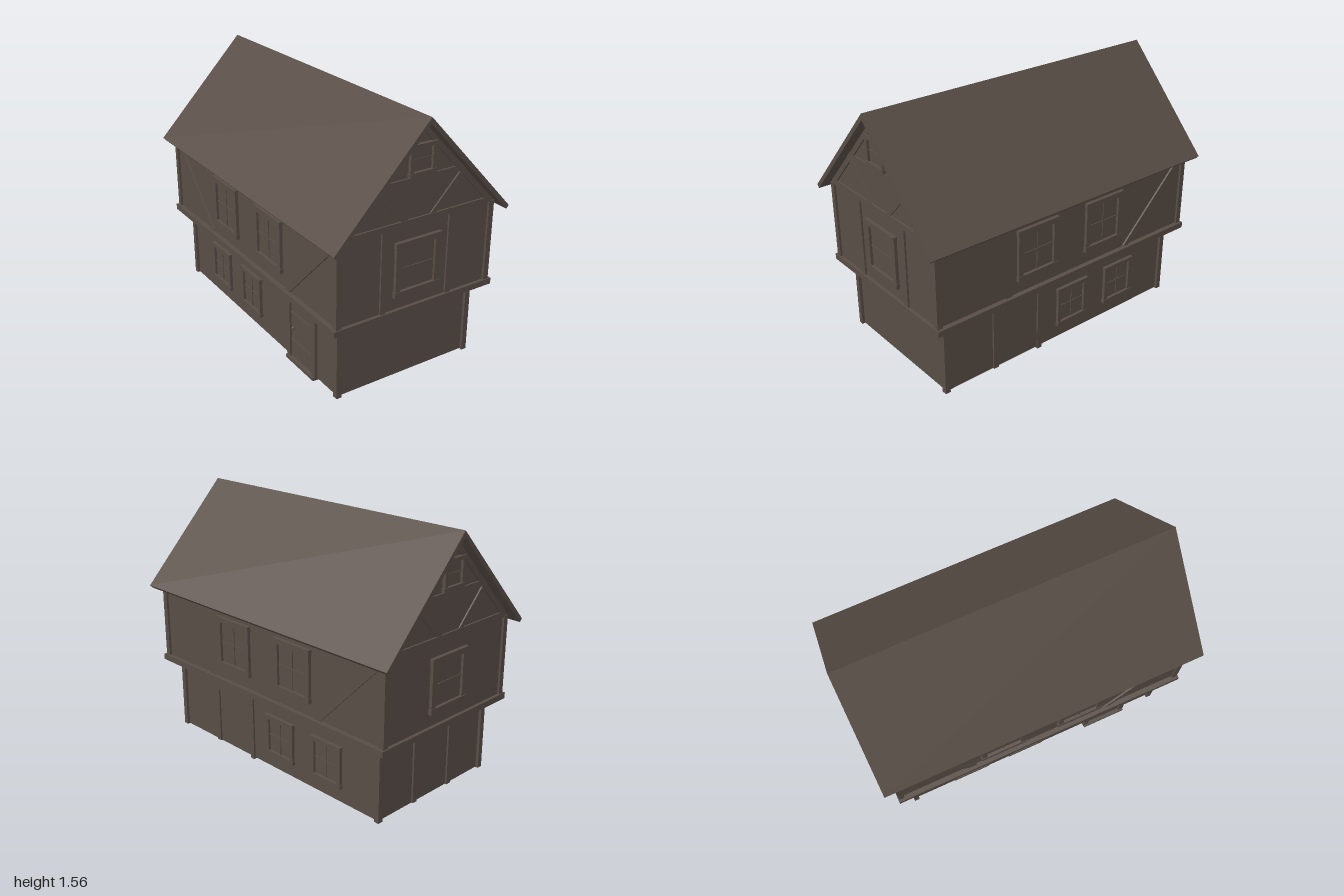
import * as THREE from 'three';

const timber = new THREE.MeshStandardMaterial({ color: 0x584d46 });
timber.name = 'dark brown';

function box(parent, name, w, h, d, x, y, z) {
  const m = new THREE.Mesh(new THREE.BoxGeometry(w, h, d), timber);
  m.name = name;
  m.position.set(x, y, z);
  parent.add(m);
  return m;
}

function prism(parent, name, pts, depth) {
  const g = new THREE.ExtrudeGeometry(new THREE.Shape(pts.map(p => new THREE.Vector2(...p))),
    { depth, bevelEnabled: false });
  g.translate(0, 0, -depth / 2);
  const m = new THREE.Mesh(g, timber);
  m.name = name;
  parent.add(m);
}

// A wall side: local x runs right, y up, z out of the wall surface
function side(parent, name, angle, dist) {
  const g = new THREE.Group();
  g.name = name;
  g.rotation.y = angle;
  g.position.set(Math.sin(angle) * dist, 0, Math.cos(angle) * dist);
  parent.add(g);
  return g;
}

// Beam on a wall from (x0,y0) to (x1,y1)
function beam(s, name, x0, y0, x1, y1, w = 0.034, out = 0.011) {
  const m = box(s, name, Math.hypot(x1 - x0, y1 - y0), w, out + 0.01,
    (x0 + x1) / 2, (y0 + y1) / 2, (out - 0.01) / 2);
  m.rotation.z = Math.atan2(y1 - y0, x1 - x0);
}

// Framed window with lintel, sill and glazing bars
function windowAt(s, x, y, w, h, t, cross = true) {
  const g = new THREE.Group();
  g.name = 'window';
  g.position.set(x, y, 0);
  s.add(g);
  for (const k of [-1, 1]) {
    box(g, 'windowJamb', t, h - 2 * t, 0.03, k * (w / 2 - t / 2 - 0.004), 0, 0.004);
    box(g, k > 0 ? 'windowLintel' : 'windowSill', w, t, 0.035, 0, k * (h / 2 - t / 2), 0.005);
  }
  box(g, 'windowPane', w - 2 * t, h - 2 * t, 0.006, 0, 0, 0.001);
  box(g, 'glazingBar', w - 2 * t, 0.008, 0.012, 0, 0, 0.003);
  if (cross) box(g, 'glazingBar', 0.008, h - 2 * t, 0.012, 0, 0, 0.003);
}

export function createModel() {
  const house = new THREE.Group();
  house.name = 'timberHouse';

  // Main volumes
  box(house, 'lowerWalls', 0.88, 0.46, 1.7, 0, 0.24, 0);
  prism(house, 'upperWalls', [[-0.5, 0.48], [0.5, 0.48], [0.5, 0.985], [0, 1.515], [-0.5, 0.985]], 1.86);
  box(house, 'jettyBeam', 1.06, 0.036, 1.9, 0, 0.477, 0);
  box(house, 'lowerTopPlate', 0.94, 0.02, 1.72, 0, 0.45, 0);

  // Roof
  prism(house, 'roof', [[0, 1.56], [-0.57, 0.955], [-0.553, 0.937], [0, 1.524], [0.553, 0.937], [0.57, 0.955]], 2);

  // Corner posts
  for (const x of [-1, 1]) for (const z of [-1, 1]) {
    box(house, 'lowerCornerPost', 0.032, 0.452, 0.032, x * 0.441, 0.234, z * 0.852);
    box(house, 'upperCornerPost', 0.034, 0.49, 0.034, x * 0.497, 0.732, z * 0.926);
  }

  // Gable ends
  for (const [name, angle] of [['frontGable', 0], ['backGable', Math.PI]]) {
    const s = side(house, name, angle, 0.93);
    beam(s, 'tieBeam', -0.5, 0.987, 0.5, 0.987);
    beam(s, 'collarBeam', -0.29, 1.217, 0.29, 1.217);
    for (const k of [-1, 1]) {
      beam(s, 'rafter', 0, 1.498, k * 0.49, 0.978, 0.03);
      beam(s, 'gableBrace', k * 0.295, 1.215, k * 0.085, 0.997, 0.028, 0.009);
      if (angle === 0) beam(s, 'stud', k * 0.219, 0.485, k * 0.219, 0.98);
    }
    windowAt(s, 0, 0.73, 0.3, 0.32, 0.034, false);
    windowAt(s, 0.003, 1.325, 0.172, 0.17, 0.021, false);
  }

  // Studs on the lower back wall
  const back = side(house, 'lowerBackWall', Math.PI, 0.85);
  for (const k of [-1, 1]) beam(back, 'stud', k * 0.15, 0.01, k * 0.15, 0.46);

  // Long sides, with u = z * -k along the wall
  for (const k of [-1, 1]) {
    const upper = side(house, 'upperSideWall', k * Math.PI / 2, 0.5);
    const lower = side(house, 'lowerSideWall', k * Math.PI / 2, 0.44);
    for (const e of [-1, 1]) {
      beam(upper, 'sideBrace', e * 0.92, 0.97, e * 0.445, 0.488, 0.032);
      windowAt(upper, e * 0.253, 0.732, 0.294, 0.315, 0.032);
    }
    for (const z of [-0.075, -0.46]) windowAt(lower, -k * z, 0.224, 0.24, 0.256, 0.025);
    if (k > 0) {
      // Braced bay
      beam(lower, 'stud', -0.507, 0.01, -0.507, 0.46);
      beam(lower, 'stud', -0.18, 0, -0.18, 0.46, 0.03);
      beam(lower, 'lowerBrace', -0.5, 0.395, -0.18, 0.07, 0.036, 0.009);
    } else {
      // Door
      for (const z of [0.375, 0.635]) beam(lower, 'doorPost', z, 0, z, 0.46, 0.034, 0.02);
      box(lower, 'doorLintel', 0.26, 0.03, 0.03, 0.505, 0.435, 0.005);
      box(lower, 'doorStep', 0.29, 0.02, 0.05, 0.505, 0.01, 0.005);
      box(lower, 'doorLeaf', 0.23, 0.4, 0.01, 0.505, 0.22, 0.002);
      for (const y of [0.13, 0.31]) box(lower, 'doorRail', 0.22, 0.02, 0.01, 0.505, y, 0.008);
      const knob = new THREE.Mesh(new THREE.SphereGeometry(0.01, 12, 8), timber);
      knob.name = 'doorKnob';
      knob.position.set(0.42, 0.22, 0.015);
      lower.add(knob);
    }
  }
  return house;
}
